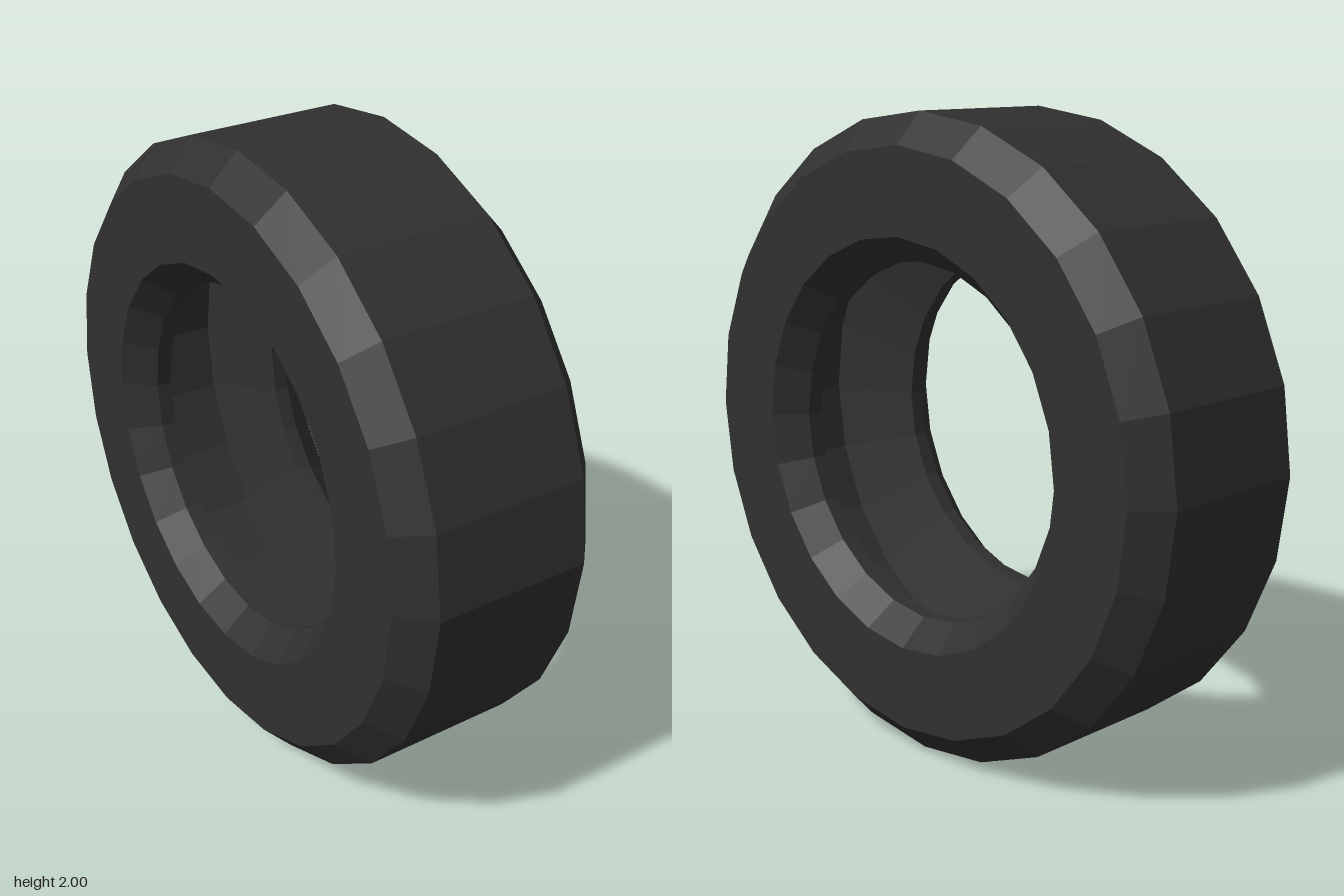
import * as THREE from 'three';

const SIDES = 24;

// Half of the tyre's cross-section as [radius, distance from the centre plane],
// running from the tread over the shoulder and rim lip into the hollow inside.
const HALF = [
  [1.0, 0.25],   // tread edge
  [0.905, 0.34], // shoulder bevel
  [0.64, 0.34],  // flat sidewall
  [0.56, 0.25],  // rim bevel
  [0.56, 0.2],   // rim lip
  [0.85, 0.11],  // inner sidewall, meets the inside of the tread
];

// Revolves a run of profile points into a faceted ring around x.
function ring(name, points, material) {
  const lathe = new THREE.LatheGeometry(points.map(([r, x]) => new THREE.Vector2(r, x)), SIDES);
  const geometry = lathe.toNonIndexed();
  geometry.computeVertexNormals(); // one normal per facet
  geometry.rotateZ(-Math.PI / 2);
  const mesh = new THREE.Mesh(geometry, material);
  mesh.name = name;
  return mesh;
}

export function createModel() {
  const rubber = new THREE.MeshStandardMaterial({ color: 0x303030 });
  rubber.name = 'blackRubber';

  const tyre = new THREE.Group();
  tyre.name = 'tyre';
  const mirrored = HALF.map(([r, x]) => [r, -x]).reverse();

  // Outer and inner faces of the tread band
  tyre.add(ring('tread', [[1, -0.25], [1, 0.25]], rubber));
  tyre.add(ring('innerTread', [HALF[5], mirrored[0]], rubber));

  // Bevelled sidewalls with rim lips
  tyre.add(ring('leftSidewall', HALF, rubber));
  tyre.add(ring('rightSidewall', mirrored, rubber));

  tyre.position.y = 1;
  const model = new THREE.Group();
  model.name = 'tyreModel';
  model.add(tyre);
  return model;
}
